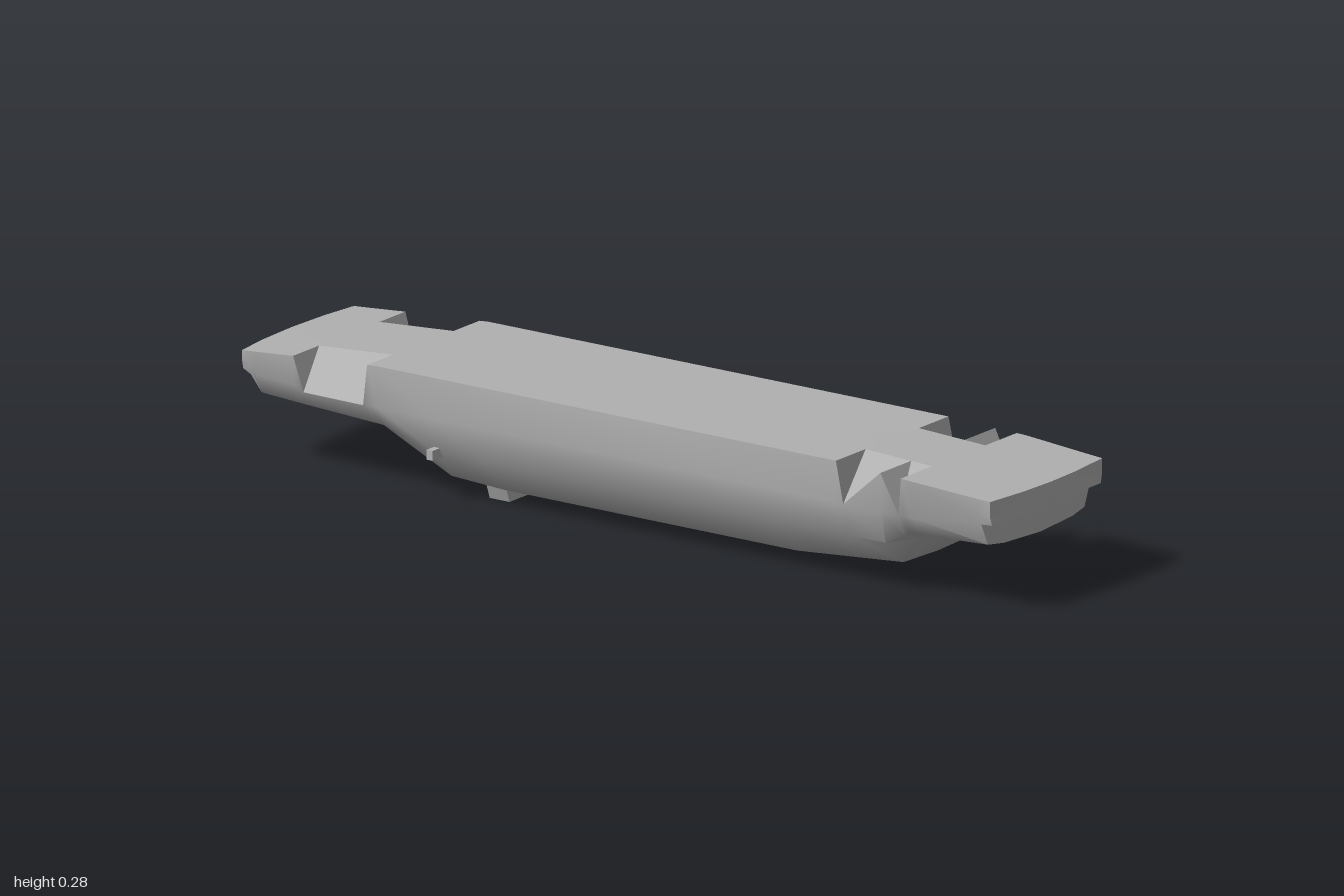
import * as THREE from 'three';
import { toCreasedNormals } from 'three/addons/utils/BufferGeometryUtils.js';

// Lengthwise profiles, front to back
const KEEL = [ // z, y of the underside
  [1, 0.202], [0.972, 0.2], [0.97, 0.139], [0.755, 0.125], [0.7, 0.05], [0.42, 0.027],
  [-0.35, 0.028], [-0.49, 0.035], [-0.63, 0.124], [-0.965, 0.148], [-0.98, 0.2], [-1, 0.21],
];
const SIDE = [ // z, x, y of the widest line
  [0.97, 0.192, 0.2], [0.78, 0.204, 0.185], [0, 0.213, 0.19], [-0.63, 0.206, 0.186], [-0.965, 0.198, 0.202],
];
const RIM = [ // z, x, y of the top edge
  [1, 0.204, 0.256], [0.78, 0.212, 0.269], [0.58, 0.205, 0.278], [-0.63, 0.205, 0.278], [-1, 0.204, 0.252],
];
const NOTCH_Z = [0.745, 0.6, -0.665, -0.825]; // stations lying on a notch floor
const OTHER_Z = [0.58, -0.655, -0.85];

function sample(profile, z) {
  let k = 0;
  while (k < profile.length - 2 && profile[k + 1][0] > z) k++;
  const a = profile[k], b = profile[k + 1];
  const t = THREE.MathUtils.clamp((a[0] - z) / (a[0] - b[0]), 0, 1);
  return a.slice(1).map((v, i) => v + (b[i + 1] - v) * t);
}

// Half section from the keel up to the middle of the deck
function sectionAt(z) {
  const [keel] = sample(KEEL, z);
  const [rimX, top] = sample(RIM, z);
  const dropped = NOTCH_Z.includes(z);
  let side = sample(SIDE, z), lower;
  if (z > 0.971 || z < -0.975) { // overhanging lips at both ends
    lower = [0.198, keel];
    side = [0.204, keel + 0.021];
  } else { // deep sections are rounder than shallow ones
    const depth = 0.187 - keel, t = depth / 0.16;
    lower = [0.168 + 0.026 * t, keel + depth * (0.1 + 0.42 * t)];
  }
  let rim = [rimX, top];
  if (dropped) rim = side = [side[0], 0.185];
  const inner = [z > 0 ? 0.097 : 0.11, top];
  // ends bow outward at the middle
  const bow = Math.abs(z) > 0.9 ? 0.015 * Math.sign(z) : 0;
  const pts = [[0, keel], [0.125, keel + 0.004], lower, side, rim, inner, [0, top]]
    .map(([x, y]) => new THREE.Vector3(x, y, z - bow * (x / 0.204) ** 2));
  return { dropped, pts };
}

// Collects mirrored triangles, leaving out collapsed ones
function makeSkin() {
  const pos = [];
  const add = (a, b, c) => {
    if (new THREE.Triangle(a, b, c).getArea() < 1e-8) return;
    for (const p of [a, b, c]) pos.push(p.x, p.y, p.z);
    for (const p of [a, c, b]) pos.push(-p.x, p.y, p.z);
  };
  const build = (crease) => {
    const g = new THREE.BufferGeometry();
    g.setAttribute('position', new THREE.Float32BufferAttribute(pos, 3));
    return toCreasedNormals(g, crease);
  };
  return { add, build };
}

export function createModel() {
  const group = new THREE.Group();
  const grey = new THREE.MeshStandardMaterial({ color: 0xb0b0b0 });
  grey.name = 'grey';
  const addMesh = (name, geometry) => {
    const mesh = new THREE.Mesh(geometry, grey);
    mesh.name = name;
    group.add(mesh);
    return mesh;
  };

  // Hull sides and belly, and the top deck with its four corner notches
  const profileZ = [...KEEL, ...SIDE, ...RIM].map((p) => p[0]);
  const stations = [...new Set([...profileZ, ...NOTCH_Z, ...OTHER_Z])].sort((a, b) => b - a).map(sectionAt);
  const hull = makeSkin(), deck = makeSkin(), ends = makeSkin();
  for (let i = 0; i < stations.length - 1; i++) {
    const s = stations[i], n = stations[i + 1];
    for (let j = 0; j < 6; j++) {
      const skin = j < 4 ? hull : deck;
      const a = s.pts[j], b = s.pts[j + 1], c = n.pts[j + 1], d = n.pts[j];
      if (j === 4 && n.dropped && !s.dropped) {
        skin.add(a, d, b);
        skin.add(b, d, c);
      } else {
        skin.add(a, d, c);
        skin.add(a, c, b);
      }
    }
  }

  // Front and rear end faces
  const first = stations[0].pts, last = stations[stations.length - 1].pts;
  for (let j = 0; j < 5; j++) {
    ends.add(first[6], first[j], first[j + 1]);
    ends.add(last[6], last[j + 1], last[j]);
  }
  addMesh('hull', hull.build(1.05));
  addMesh('deck', deck.build(0.35));
  addMesh('endFaces', ends.build(0.6));

  // Cross bar under the belly
  const corners = [[-0.105, 0], [0.105, 0], [0.12, 0.04], [-0.12, 0.04]];
  const bar = new THREE.Shape(corners.map(([x, y]) => new THREE.Vector2(x, y)));
  const barMesh = addMesh('bellyBar', new THREE.ExtrudeGeometry(bar, { depth: 0.052, bevelEnabled: false }));
  barMesh.position.z = -0.404;

  // Small side pegs
  for (const side of [-1, 1]) {
    const peg = addMesh(side > 0 ? 'leftPeg' : 'rightPeg', new THREE.BoxGeometry(0.05, 0.022, 0.016));
    peg.position.set(side * 0.197, 0.11, -0.478);
  }
  return group;
}
